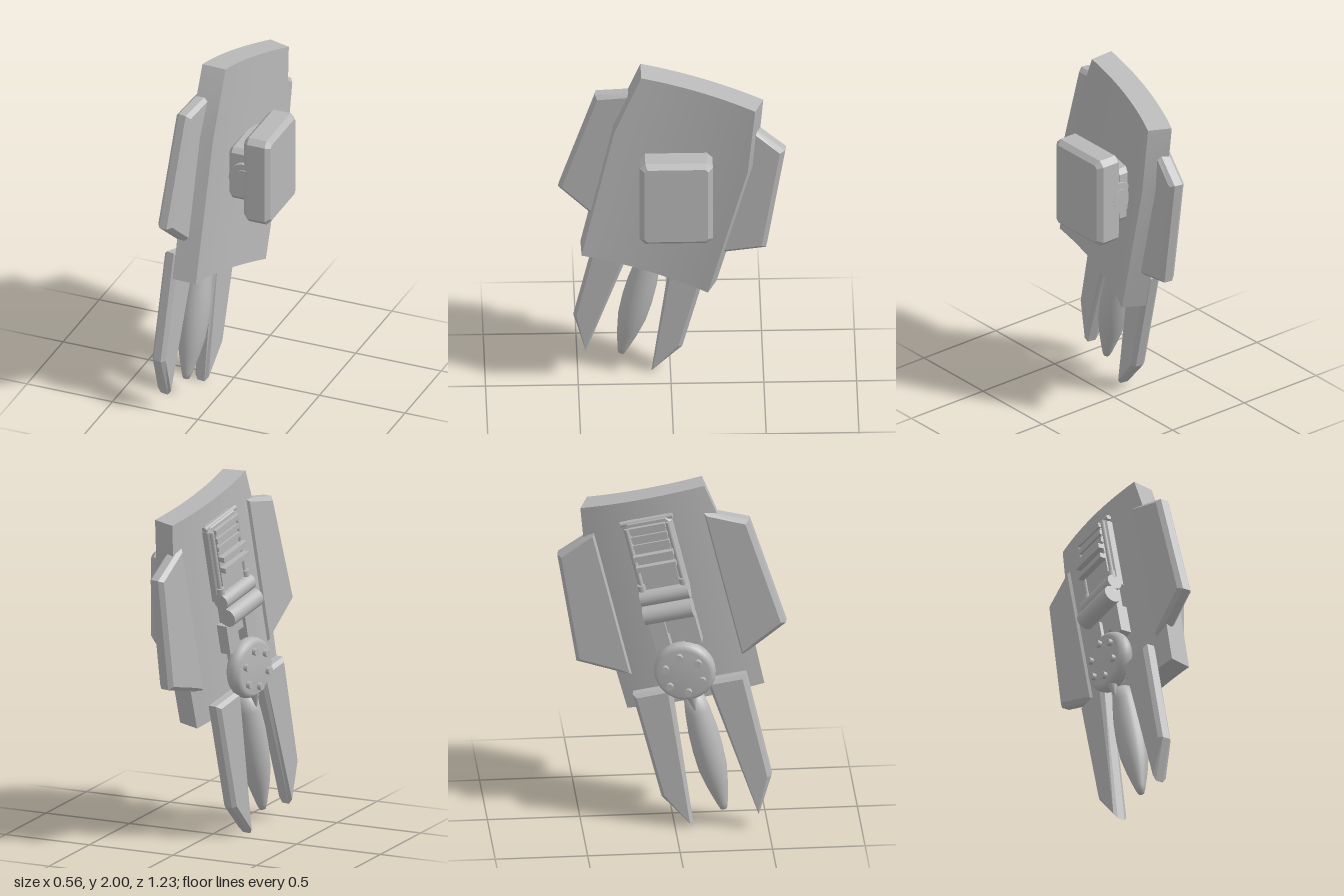
import * as THREE from 'three';

const gray = new THREE.MeshStandardMaterial({ color: 0xb8b8b8 });
gray.name = 'plain gray';

export function createModel() {
  const root = new THREE.Group();
  root.name = 'armShield';

  // Leaning frame that holds the shield and everything on its inner side
  const frame = new THREE.Group();
  frame.name = 'shieldFrame';
  frame.rotation.set(-0.244, -0.175, -0.033, 'XYZ');
  frame.position.set(0.06, 1.333, 0);
  root.add(frame);

  const add = (parent, name, geometry, x = 0, y = 0, z = 0) => {
    const mesh = new THREE.Mesh(geometry, gray);
    mesh.name = name;
    mesh.position.set(x, y, z);
    parent.add(mesh);
    return mesh;
  };
  const box = (name, x, y, z, sx, sy, sz) => add(frame, name, new THREE.BoxGeometry(sx, sy, sz), x, y, z);

  // Bevelled plate with its outline in (z, y), centred on x = 0
  const plate = (points, thickness, bevel) => {
    const shape = new THREE.Shape(points.map(([z, y]) => new THREE.Vector2(z, y)));
    const g = new THREE.ExtrudeGeometry(shape, {
      depth: thickness - 2 * bevel, bevelThickness: bevel, bevelSize: bevel,
      bevelOffset: -bevel, bevelSegments: 1,
    });
    g.translate(0, 0, bevel - thickness / 2);
    return g.rotateY(-Math.PI / 2);
  };

  // Cylinders lying along z or facing along x
  const rodZ = (r, length, sides = 20) => new THREE.CylinderGeometry(r, r, length, sides).rotateX(Math.PI / 2);
  const rodX = (r, length, sides = 16) => new THREE.CylinderGeometry(r, r, length, sides).rotateZ(Math.PI / 2);

  // Curved main shield: a block bent around an upright axis, widest above the middle
  const shield = new THREE.BoxGeometry(1, 1, 1, 1, 2, 14);
  const pos = shield.attributes.position;
  for (let i = 0; i < pos.count; i++) {
    const row = Math.round((pos.getY(i) + 0.5) * 2);
    const angle = 2 * pos.getZ(i) * [0.204, 0.216, 0.184][row];
    const r = pos.getX(i) > 0 ? 1.75 : 1.885;
    pos.setXYZ(i, 1.715 - r * Math.cos(angle), [-0.606, 0.222, 0.607][row], r * Math.sin(angle));
  }
  shield.computeVertexNormals();
  add(frame, 'shieldPlate', shield);

  // Side fins and lower blades, mirrored
  for (const s of [1, -1]) {
    const side = s > 0 ? 'front' : 'rear';
    const fin = [[0.3, 0.462], [0.534, 0.362], [0.584, -0.275], [0.38, -0.38], [0.3, -0.42]];
    add(frame, side + 'Fin', plate(fin.map(([z, y]) => [s * z, y]), 0.09, 0.022), -0.113);
    const blade = [[0.1, -0.49], [0.315, -0.49], [0.306, -1.11], [0.184, -1.32]];
    add(frame, side + 'Blade', plate(blade.map(([z, y]) => [s * z, y]), 0.085, 0.02), -0.205);
  }

  // Spindle hanging between the blades
  const spindle = [[0, -1.27], [0.018, -1.265], [0.03, -1.23], [0.058, -1.12], [0.077, -1.02],
    [0.083, -0.9], [0.08, -0.78], [0.068, -0.66], [0.055, -0.58], [0, -0.58]];
  add(frame, 'spindle', new THREE.LatheGeometry(spindle.map(p => new THREE.Vector2(...p)), 24), -0.19);

  // Round hub with six studs
  const hub = [[0, 0], [0.15, 0], [0.165, 0.02], [0.168, 0.045], [0.16, 0.072], [0.138, 0.09], [0, 0.09]];
  const hubMesh = add(frame, 'hub',
    new THREE.LatheGeometry(hub.map(p => new THREE.Vector2(...p)), 32).rotateZ(Math.PI / 2), -0.2, -0.4);
  for (let i = 0; i < 6; i++) {
    const a = (i + 0.5) * Math.PI / 3;
    add(hubMesh, 'hubStud', rodX(0.02, 0.03, 12), -0.098, 0.105 * Math.sin(a), 0.105 * Math.cos(a));
  }
  add(frame, 'hubPin', new THREE.ConeGeometry(0.03, 0.11, 12).rotateX(Math.PI), -0.25, -0.6);
  box('hubMount', -0.18, -0.4, 0, 0.06, 0.22, 0.16);

  // Mechanism bed with its raised panel, rails and slats
  add(frame, 'bedPlate', plate([[-0.135, 0.47], [-0.11, 0.5], [0.11, 0.5], [0.135, 0.47],
    [0.135, 0.05], [-0.135, 0.05]], 0.06, 0.01), -0.18);
  box('innerPanel', -0.212, 0.27, 0, 0.02, 0.38, 0.19);
  for (const s of [1, -1]) {
    add(frame, 'sideRail', new THREE.CylinderGeometry(0.013, 0.013, 0.36, 10), -0.214, 0.29, s * 0.115);
    add(frame, 'railKnob', new THREE.CylinderGeometry(0.022, 0.022, 0.045, 12), -0.218, 0.11, s * 0.115);
    box('lowerBlock', -0.19, -0.18, s * 0.085, 0.08, 0.17, 0.085);
  }
  for (const y of [0.46, 0.41, 0.36]) box('topSlat', -0.223, y, 0, 0.022, 0.028, 0.2);
  for (const y of [0.305, 0.24]) {
    box('raisedBar', -0.25, y, 0, 0.035, 0.03, 0.22);
    box('barStem', -0.225, y, 0, 0.04, 0.015, 0.18);
  }
  add(frame, 'topRod', rodZ(0.015, 0.29, 10), -0.19, 0.492);

  // Two rollers and the strap below them
  add(frame, 'upperRoller', rodZ(0.045, 0.27), -0.222, 0.055);
  add(frame, 'lowerRoller', rodZ(0.052, 0.27), -0.25, -0.035);
  box('rollerBed', -0.18, -0.06, 0, 0.06, 0.24, 0.2);

  // Upright outer block with cut corners, on a bracket with a hinge barrel
  const cutRect = (w, h, c) => [[c - w, -h], [w - c, -h], [w, c - h], [w, h - c],
    [w - c, h], [c - w, h], [-w, h - c], [-w, c - h]];
  add(root, 'outerBlock', plate(cutRect(0.197, 0.258, 0.03), 0.155, 0.026), 0.2, 1.34, -0.022);
  add(root, 'bracket', plate(cutRect(0.165, 0.157, 0.025), 0.12, 0.02), 0.08, 1.34, -0.035);
  add(root, 'hingeBarrel', rodZ(0.09, 0.37, 28), 0.125, 1.34, -0.028);
  add(root, 'hingePin', rodZ(0.055, 0.385, 24), 0.125, 1.34, -0.028);

  return root;
}
